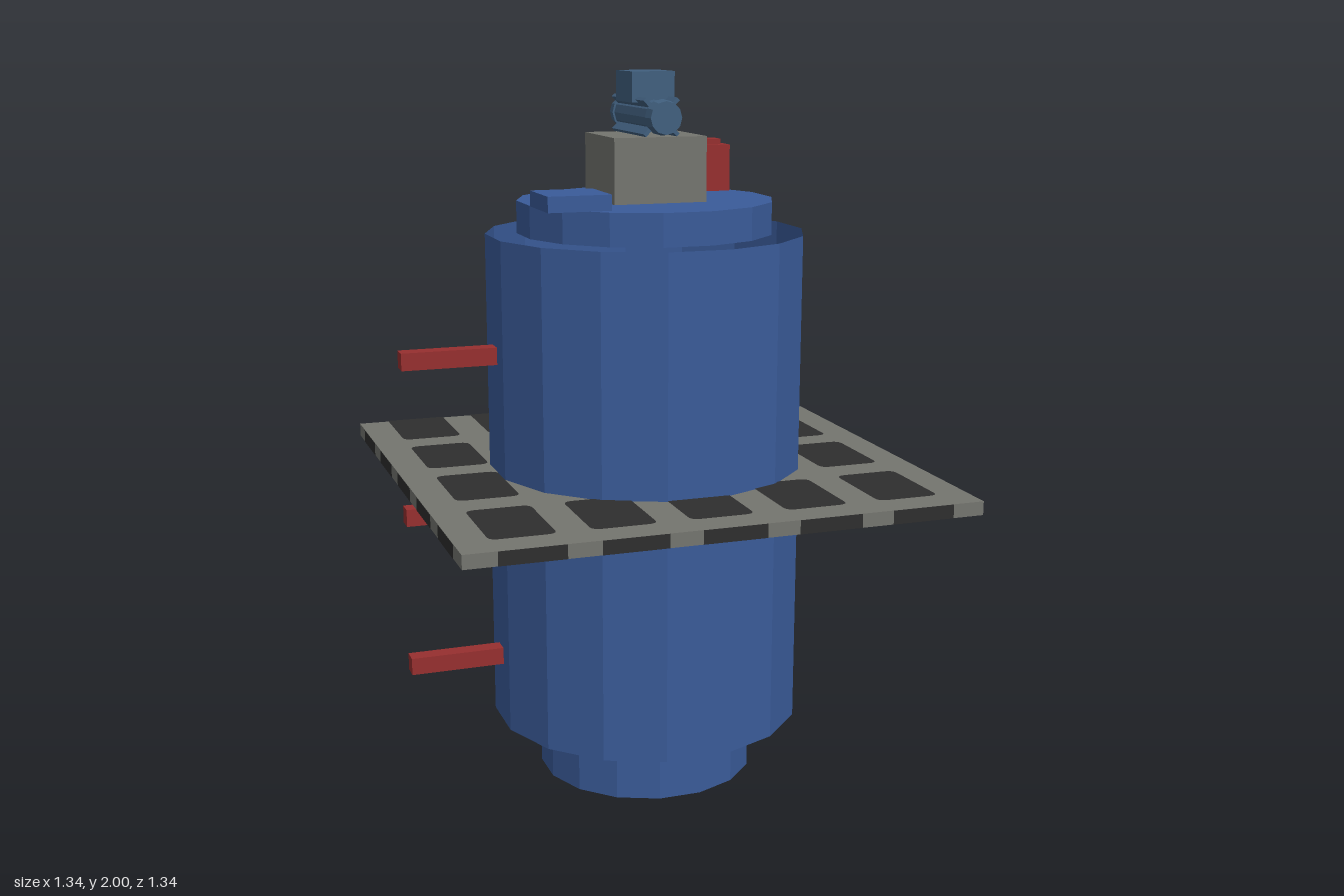
import * as THREE from 'three';

export function createModel() {
  const model = new THREE.Group();
  model.name = 'tank';

  const paint = (name, color) => {
    const m = new THREE.MeshStandardMaterial({ color, flatShading: true });
    m.name = name;
    return m;
  };
  const blue = paint('tank blue', 0x3a5b99);
  blue.side = THREE.DoubleSide; // the shell is open at both ends
  const grey = paint('steel grey', 0x74756f);
  const dark = paint('dark grey', 0x2e2e2e);
  const red = paint('pipe red', 0x962f2f);
  const slate = paint('motor slate', 0x41607f);

  const add = (name, geometry, material, parent = model) => {
    const mesh = new THREE.Mesh(geometry, material);
    mesh.name = name;
    parent.add(mesh);
    return mesh;
  };
  // Box given by its low and high corners
  const box = (name, material, [x0, y0, z0], [x1, y1, z1], parent) => {
    const g = new THREE.BoxGeometry(x1 - x0, y1 - y0, z1 - z0);
    g.translate((x0 + x1) / 2, (y0 + y1) / 2, (z0 + z1) / 2);
    return add(name, g, material, parent);
  };
  // Sixteen-sided drum with flats facing the axes
  const drum = (name, flat, y0, y1, open = false) => {
    const r = flat / Math.cos(Math.PI / 16);
    const g = new THREE.CylinderGeometry(r, r, y1 - y0, 16, 1, open);
    g.rotateY(Math.PI / 16).translate(0, (y0 + y1) / 2, 0);
    return add(name, g, blue);
  };

  // Tank
  box('drainFoot', dark, [-0.04, 0, -0.04], [0.04, 0.09, 0.04]);
  drum('base', 0.29, 0.09, 0.255);
  drum('shell', 0.415, 0.255, 1.585, true);
  drum('lid', 0.333, 1.585, 1.67);

  // Platform with dark grating panels
  const platform = new THREE.Group();
  platform.name = 'platform';
  model.add(platform);
  const H = 0.667, yLow = 0.924, yHigh = 0.96;
  box('platformSlab', grey, [-H, yLow, -H], [H, yHigh, H], platform);

  const columns = [-0.5, -0.25, 0, 0.25, 0.5];
  const rows = [[0.42, H], [0.085, 0.335], [-0.245, 0.003], [-0.585, -0.335]];
  const panelShape = (x, v0, v1) => {
    const w = 0.083, r = 0.025, t = v1 === H ? 0 : r; // panels on the edge are cut square
    const s = new THREE.Shape();
    s.moveTo(x - w + r, v0);
    s.lineTo(x + w - r, v0);
    s.quadraticCurveTo(x + w, v0, x + w, v0 + r);
    s.lineTo(x + w, v1 - t);
    if (t) s.quadraticCurveTo(x + w, v1, x + w - t, v1);
    s.lineTo(x - w + t, v1);
    if (t) s.quadraticCurveTo(x - w, v1, x - w, v1 - t);
    s.lineTo(x - w, v0 + r);
    s.quadraticCurveTo(x - w, v0, x - w + r, v0);
    return s;
  };
  const panels = columns.flatMap(x => rows.map(([a, b]) => panelShape(x, a, b)));
  const panelFaces = () => new THREE.ShapeGeometry(panels, 5);
  add('topPanels', panelFaces().rotateX(-Math.PI / 2).translate(0, yHigh + 0.002, 0), dark, platform);
  add('bottomPanels', panelFaces().rotateX(Math.PI / 2).translate(0, yLow - 0.002, 0), dark, platform);

  // Dark stripes around the platform rim
  for (let side = 0; side < 4; side++) {
    for (const x of columns) {
      const g = new THREE.PlaneGeometry(0.166, yHigh - yLow);
      g.translate(x, (yLow + yHigh) / 2, H + 0.001).rotateY(side * Math.PI / 2);
      add('rimStripe', g, dark, platform);
    }
  }

  // Side pipes
  for (const y of [0.447, 0.862, 1.278]) {
    box('sidePipe', red, [-H, y - 0.023, -0.023], [-0.41, y + 0.023, 0.023]);
  }

  // Fittings on the lid
  box('hatch', blue, [-0.335, 1.67, 0.08], [-0.17, 1.71, 0.245]);
  box('valve', red, [0.205, 1.67, -0.21], [0.29, 1.795, -0.128]);
  box('valveCap', red, [0.225, 1.795, -0.193], [0.27, 1.81, -0.147]);
  box('motorPedestal', grey, [-0.125, 1.67, -0.125], [0.125, 1.838, 0.125]);

  // Motor lying along z, with fins and a terminal box
  const motor = new THREE.Group();
  motor.name = 'motor';
  motor.position.y = 1.888;
  model.add(motor);
  const barrel = (name, r0, r1, z0, z1) => {
    const g = new THREE.CylinderGeometry(r1, r0, z1 - z0, 12);
    g.rotateX(Math.PI / 2).translate(0, 0, (z0 + z1) / 2);
    add(name, g, slate, motor);
  };
  barrel('motorBarrel', 0.041, 0.041, -0.135, 0.135);
  barrel('frontCover', 0.046, 0.042, 0.132, 0.167);
  barrel('rearCover', 0.042, 0.046, -0.167, -0.132);
  for (let i = 0; i < 4; i++) {
    const fin = box('motorFin', slate, [0.03, -0.005, -0.13], [0.064, 0.005, 0.13], motor);
    fin.rotation.z = Math.PI / 4 + i * Math.PI / 2;
  }
  box('terminalBox', slate, [-0.058, 0.034, -0.066], [0.058, 0.112, 0.066], motor);

  return model;
}
